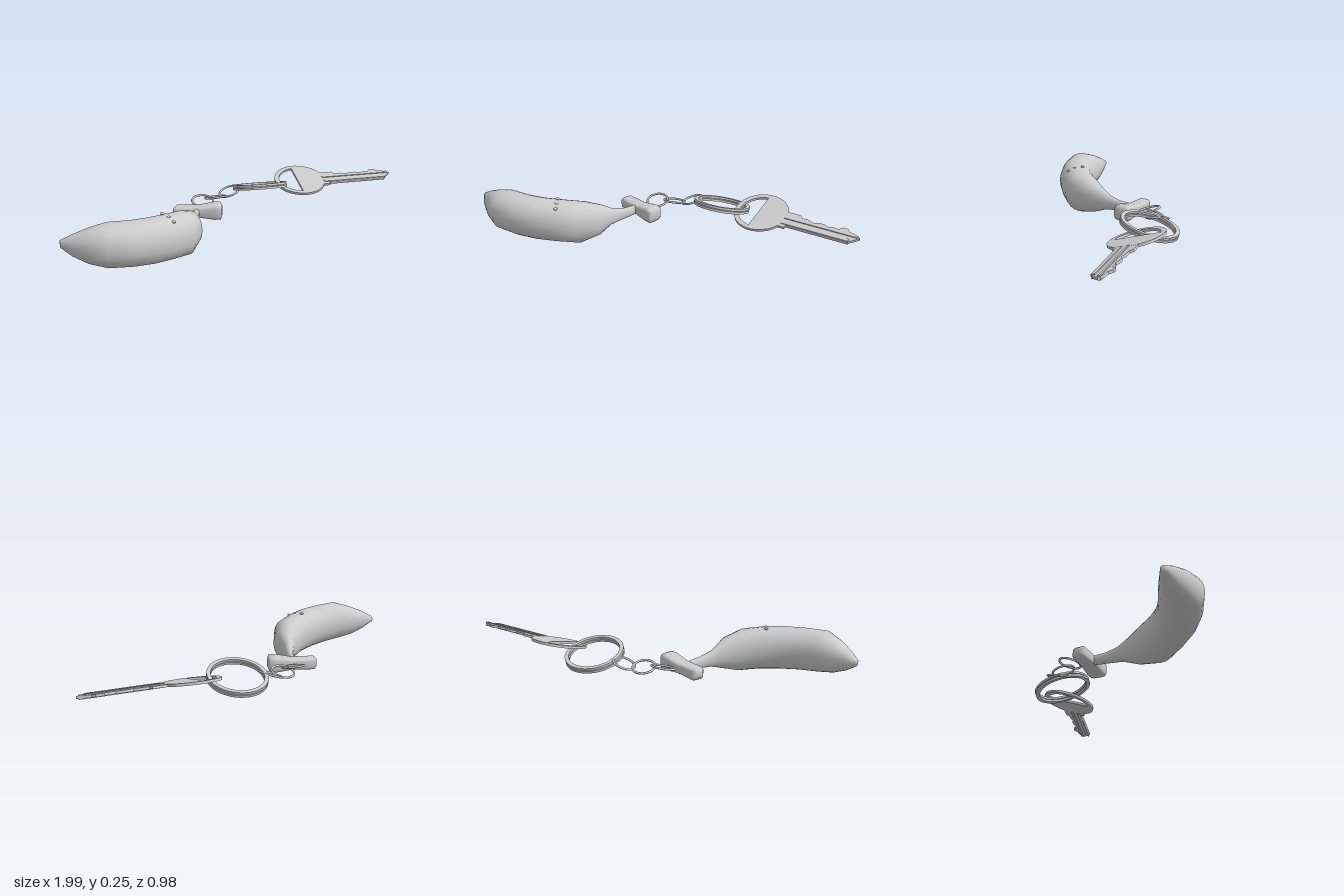
import * as THREE from 'three';

const material = new THREE.MeshStandardMaterial({ color: 0xcccccc, side: THREE.DoubleSide });

function add(parent, name, geometry) {
  const mesh = new THREE.Mesh(geometry, material);
  mesh.name = name;
  parent.add(mesh);
  return mesh;
}

// Skin through stations [backX, backZ, frontX, frontZ, yMin, yMax]; power < 1 squares the section
function loft(stations, sides, power) {
  const pos = [], index = [];
  const bend = v => Math.sign(v) * Math.abs(v) ** power;
  for (const [bx, bz, fx, fz, y0, y1] of stations) {
    for (let j = 0; j < sides; j++) {
      const a = (j / sides) * Math.PI * 2;
      const c = bend(Math.cos(a)) / 2, s = bend(Math.sin(a)) / 2;
      pos.push((bx + fx) / 2 + c * (bx - fx), (y0 + y1) / 2 + s * (y1 - y0), (bz + fz) / 2 + c * (bz - fz));
    }
  }
  const last = stations.length - 1;
  for (let i = 0; i < last; i++) {
    for (let j = 0; j < sides; j++) {
      const k = (j + 1) % sides, a = i * sides + j, b = i * sides + k;
      index.push(a, b, a + sides, b, b + sides, a + sides);
    }
  }
  // End caps
  for (const end of [0, last]) {
    const [bx, bz, fx, fz, y0, y1] = stations[end];
    const centre = pos.length / 3;
    pos.push((bx + fx) / 2, (y0 + y1) / 2, (bz + fz) / 2);
    for (let j = 0; j < sides; j++) {
      const a = end * sides + j, b = end * sides + ((j + 1) % sides);
      if (end) index.push(centre, a, b);
      else index.push(centre, b, a);
    }
  }
  const g = new THREE.BufferGeometry();
  g.setAttribute('position', new THREE.Float32BufferAttribute(pos, 3));
  g.setIndex(index);
  g.computeVertexNormals();
  return g;
}

function buildBanana(parent) {
  const banana = new THREE.Group();
  banana.name = 'banana';
  parent.add(banana);
  add(banana, 'bananaBody', loft([
    [-1.0, 0.30, -1.0, 0.335, 0.13, 0.165],
    [-0.94, 0.292, -0.95, 0.385, 0.09, 0.195],
    [-0.86, 0.282, -0.88, 0.44, 0.055, 0.228],
    [-0.77, 0.275, -0.79, 0.49, 0.035, 0.255],
    [-0.67, 0.265, -0.66, 0.48, 0.025, 0.25],
    [-0.58, 0.24, -0.55, 0.45, 0.017, 0.246],
    [-0.48, 0.19, -0.45, 0.40, 0.01, 0.24],
    [-0.40, 0.125, -0.34, 0.33, 0.0, 0.226],
    [-0.345, 0.075, -0.28, 0.21, 0.025, 0.19],
    [-0.31, 0.02, -0.281, 0.10, 0.053, 0.142],
    [-0.284, -0.04, -0.256, 0.0, 0.06, 0.122],
    [-0.272, -0.08, -0.238, -0.07, 0.062, 0.118],
    [-0.255, -0.14, -0.225, -0.13, 0.065, 0.115],
  ], 24, 0.92));
  // Small spots on the skin
  for (const [x, y, z] of [[-0.495, 0.242, 0.28], [-0.47, 0.236, 0.32], [-0.45, 0.221, 0.352]]) {
    const spot = add(banana, 'spot', new THREE.SphereGeometry(0.011, 10, 8));
    spot.position.set(x, y, z);
    spot.scale.y = 0.6;
  }
  // Crossbar at the end of the stem
  add(banana, 'stemCap', loft([
    [-0.352, -0.18, -0.37, -0.14, 0.07, 0.11],
    [-0.335, -0.191, -0.36, -0.12, 0.057, 0.123],
    [-0.22, -0.165, -0.245, -0.084, 0.063, 0.122],
    [-0.13, -0.146, -0.155, -0.052, 0.05, 0.141],
    [-0.102, -0.138, -0.124, -0.044, 0.053, 0.138],
    [-0.096, -0.125, -0.113, -0.056, 0.07, 0.12],
  ], 20, 0.5));
}

function buildChain(parent) {
  const chain = new THREE.Group();
  chain.name = 'chain';
  parent.add(chain);
  // Links: centre, then slope of the link along x and z
  const links = [
    [-0.185, 0.112, -0.23, 0, -0.27],
    [-0.10, 0.111, -0.28, 0.05, 0.27],
    [-0.008, 0.124, -0.325, 0.36, -0.1],
  ];
  for (const [x, y, z, sx, sz] of links) {
    const link = add(chain, 'chainLink', new THREE.TorusGeometry(0.059, 0.006, 8, 24));
    link.position.set(x, y, z);
    link.quaternion.setFromUnitVectors(new THREE.Vector3(0, 0, 1), new THREE.Vector3(-sx, 1, -sz).normalize());
  }
}

function buildSplitRing(parent) {
  const ring = new THREE.Group();
  ring.name = 'splitRing';
  ring.position.set(0.18, 0.138, -0.335);
  ring.rotation.x = -0.28;
  parent.add(ring);
  // Two flat coils lying on each other
  for (const y of [-0.015, 0.002]) {
    const shape = new THREE.Shape().absarc(0, 0, 0.157, 0, Math.PI * 2);
    shape.holes.push(new THREE.Path().absarc(0, 0, 0.136, 0, Math.PI * 2, true));
    const coil = new THREE.ExtrudeGeometry(shape, { depth: 0.013, bevelEnabled: false, curveSegments: 40 });
    coil.rotateX(-Math.PI / 2).translate(0, y, 0);
    add(ring, 'ringCoil', coil);
  }
}

function buildKey(parent) {
  const key = new THREE.Group();
  key.name = 'key';
  key.position.set(0.425, 0.152, -0.34);
  key.rotation.x = -Math.PI / 2 + 0.27;
  parent.add(key);
  const extrude = (shape, depth) =>
    new THREE.ExtrudeGeometry(shape, { depth, bevelEnabled: false, curveSegments: 32 }).translate(0, 0, -depth / 2);

  // Round bow with a half-moon opening
  const bow = new THREE.Shape().absarc(0, 0, 0.149, 0, Math.PI * 2);
  const a = Math.acos(-0.015 / 0.122);
  bow.holes.push(new THREE.Path().absarc(0, 0, 0.122, a, Math.PI * 2 - a));
  add(key, 'keyBow', extrude(bow, 0.014));

  // Shoulder and toothed blade
  const blade = new THREE.Shape([
    [0.12, -0.07], [0.17, -0.07], [0.17, -0.05], [0.52, -0.05], [0.568, 0], [0.53, 0.022],
    [0.50, 0.026], [0.485, 0.046], [0.455, 0.046], [0.44, 0.026], [0.415, 0.03], [0.385, 0.022],
    [0.36, 0.032], [0.33, 0.034], [0.30, 0.022], [0.265, 0.034], [0.225, 0.036], [0.215, 0.053],
    [0.12, 0.053],
  ].map(([x, y]) => new THREE.Vector2(x, y)));
  add(key, 'keyBlade', extrude(blade, 0.013));
  // Long ridges beside the groove, on both faces
  for (const [y, width, end] of [[-0.039, 0.02, 0.52], [0.002, 0.014, 0.555]]) {
    const ridge = add(key, 'bladeRidge', new THREE.BoxGeometry(end - 0.14, width, 0.023));
    ridge.position.set((end + 0.14) / 2, y, 0);
  }
}

export function createModel() {
  const model = new THREE.Group();
  model.name = 'bananaKeychain';
  buildBanana(model);
  buildChain(model);
  buildSplitRing(model);
  buildKey(model);
  return model;
}
